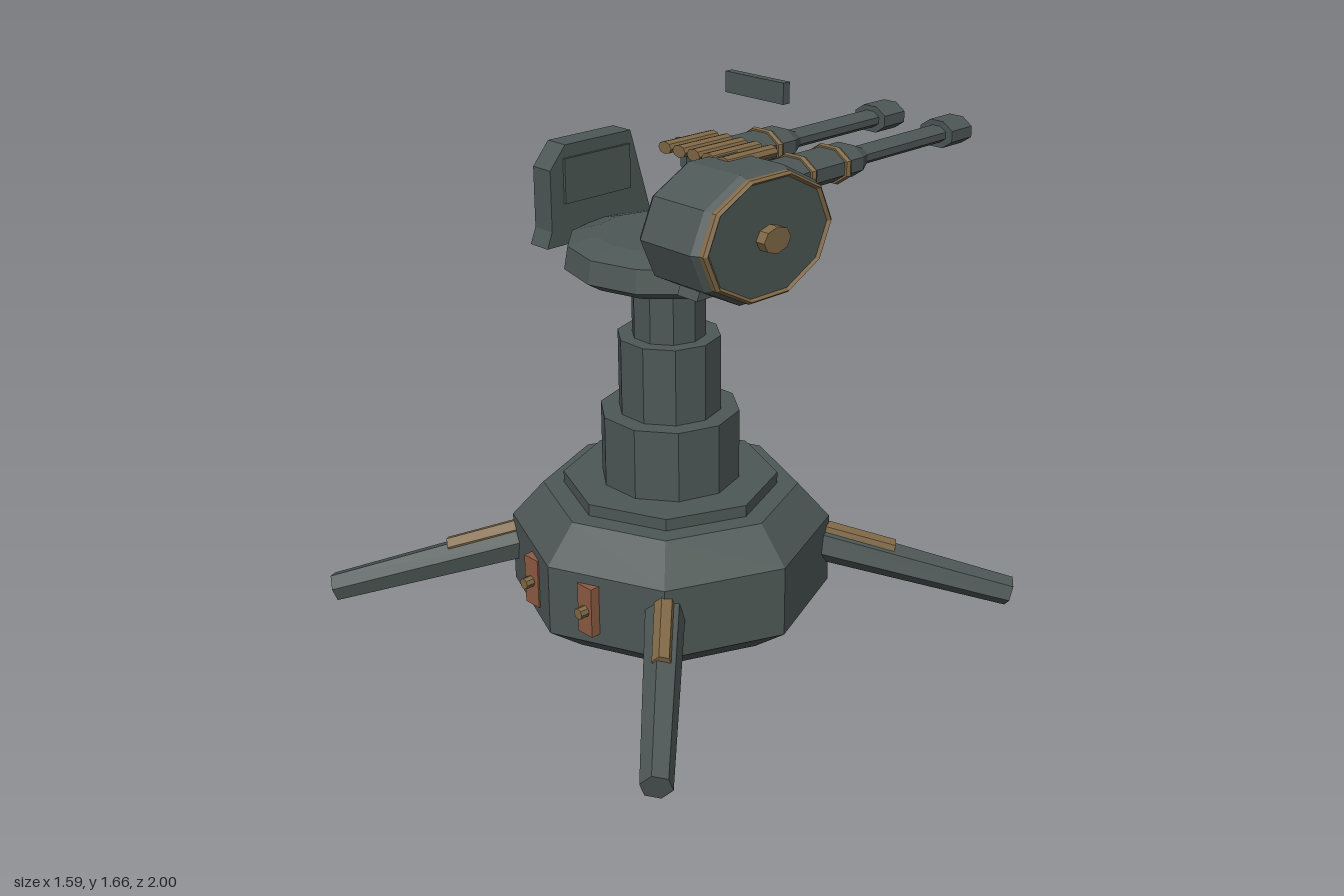
import * as THREE from 'three';

const material = (name, color) => {
  const m = new THREE.MeshStandardMaterial({ color });
  m.name = name;
  return m;
};

// Faceted normals for the low-poly look
function faceted(geometry) {
  const g = geometry.index ? geometry.toNonIndexed() : geometry;
  g.computeVertexNormals();
  return g;
}

export function createModel() {
  const model = new THREE.Group();
  model.name = 'turret';
  const steel = material('gunmetal', 0x4d5755);
  const brass = material('bronze', 0x7f6846);
  const rust = material('rust', 0x8c5a42);
  const glass = material('cyanGlass', 0x38b0b8);
  const CZ = 0.2; // z of the pedestal axis

  function add(name, geometry, mat, x = 0, y = 0, z = 0, parent = model) {
    const mesh = new THREE.Mesh(faceted(geometry), mat);
    mesh.name = name;
    mesh.position.set(x, y, z);
    parent.add(mesh);
    return mesh;
  }
  // Turned part: profile points are [radius, height]
  const turned = (points, sides, phase = 0) =>
    new THREE.LatheGeometry(points.map(p => new THREE.Vector2(...p)), sides, phase);
  const box = (w, h, d) => new THREE.BoxGeometry(w, h, d);

  // Tapered bar between two points
  function bar(name, a, b, ra, rb, sides, mat) {
    const dir = b.clone().sub(a);
    const mesh = add(name, new THREE.CylinderGeometry(rb, ra, dir.length(), sides), mat);
    mesh.position.copy(a).add(b).multiplyScalar(0.5);
    mesh.quaternion.setFromUnitVectors(new THREE.Vector3(0, 1, 0), dir.normalize());
  }

  // Octagonal base and its collar
  add('base', turned([[0, 0], [0.38, 0], [0.5, 0.09], [0.5, 0.315], [0.4, 0.428], [0, 0.428]], 8), steel, 0, 0, CZ);
  add('collar', turned([[0.335, 0.42], [0.335, 0.465], [0, 0.465]], 8), steel, 0, 0, CZ);

  // Telescoping column
  [[0.218, 0.46, 0.69], [0.16, 0.69, 0.932], [0.115, 0.932, 1.14]].forEach(([r, y0, y1], i) =>
    add('column' + (i + 1), turned([[0, y0], [r, y0], [r, y1], [0, y1]], 10, Math.PI / 2), steel, 0, 0, CZ));

  // Turntable
  add('turntable', turned([[0, 1.13], [0.265, 1.13], [0.315, 1.16], [0.303, 1.23], [0.215, 1.255], [0, 1.255]], 12),
    steel, 0, 0, CZ);

  // Splayed legs with braces
  for (const sx of [-1, 1]) for (const sz of [-1, 1]) {
    const at = (d, y) => new THREE.Vector3(sx * d, y, CZ + sz * d);
    bar('leg', at(0.29, 0.243), at(0.765, 0.05), 0.062, 0.047, 6, steel);
    bar('legBrace', at(0.3, 0.283), at(0.5, 0.2), 0.032, 0.03, 6, brass);
  }

  // Front hatches with knobs
  for (const s of [-1, 1]) {
    add('hatch', box(0.062, 0.16, 0.065), rust, s * 0.125, 0.205, 0.634);
    add('hatchKnob', new THREE.CylinderGeometry(0.018, 0.018, 0.05, 8).rotateX(Math.PI / 2), brass, s * 0.128, 0.205, 0.67);
  }

  // Side brackets with inner plates
  const outline = [[0, 1.18], [0.43, 1.18], [0.41, 1.23], [0.41, 1.42], [0.35, 1.49], [0.09, 1.49]];
  const bracketShape = new THREE.Shape(outline.map(([z, y]) => new THREE.Vector2(-z, y)));
  for (const s of [-1, 1]) {
    const g = new THREE.ExtrudeGeometry(bracketShape, { depth: 0.08, bevelEnabled: false });
    g.translate(0, 0, -0.04).rotateY(Math.PI / 2);
    add('bracket', g, steel, s * 0.326, 0, 0);
    add('bracketPlate', box(0.012, 0.14, 0.26), steel, s * 0.283, 1.38, 0.23);
  }
  const pivot = add('pivotBolt', new THREE.CylinderGeometry(0.08, 0.08, 0.05, 8, 1).rotateZ(Math.PI / 2), brass, -0.379, 1.378, CZ);
  pivot.scale.y = 0.69;

  // Ammunition drum, lying along x
  const drum = new THREE.Group();
  drum.name = 'ammoDrum';
  drum.position.set(0, 1.388, 0.337);
  drum.scale.y = 0.73;
  model.add(drum);
  const along = (name, points, sides, mat) =>
    add(name, turned(points, sides).rotateZ(-Math.PI / 2), mat, 0, 0, 0, drum);
  along('drumBody', [[0, 0.305], [0.245, 0.305], [0.263, 0.325], [0.263, 0.52], [0.24, 0.552], [0, 0.552]], 10, steel);
  along('drumRim', [[0.25, 0.532], [0.248, 0.552], [0.238, 0.56], [0.228, 0.552]], 10, brass);
  along('drumKnob', [[0.052, 0.54], [0.052, 0.583], [0, 0.583]], 8, brass);

  // Belt of cartridges feeding from the drum
  for (let i = 0; i < 5; i++) {
    const round = add('cartridge', new THREE.CylinderGeometry(0.026, 0.026, 0.19, 8).rotateX(Math.PI / 2),
      brass, 0.148 + i * 0.058, 1.562, 0.25);
    round.scale.y = 0.7;
  }
  add('beltLink', new THREE.CylinderGeometry(0.012, 0.012, 0.27, 6).rotateZ(Math.PI / 2), steel, 0.233, 1.556, 0.25);

  // Twin hollow barrels, slightly flattened and turned
  const profile = [[0.032, -1], [0.071, -1], [0.071, -0.895], [0.043, -0.895], [0.043, -0.5],
    [0.08, -0.44], [0.08, -0.068], [0.05, -0.068], [0.032, -0.2], [0.032, -1]];
  for (const x of [-0.154, 0.136]) {
    const gun = new THREE.Group();
    gun.name = 'gun';
    gun.position.set(x, 1.378, 0);
    gun.rotation.y = 0.015;
    gun.scale.y = 0.68;
    model.add(gun);
    add('barrel', turned(profile, 8, Math.PI / 8).rotateX(Math.PI / 2), steel, 0, 0, 0, gun);
    for (const z of [-0.205, -0.363])
      add('barrelBand', new THREE.TorusGeometry(0.082, 0.013, 6, 8).rotateZ(Math.PI / 8), brass, 0, 0, z, gun);
  }

  // Sight with a glowing rear lens
  const sight = new THREE.Group();
  sight.name = 'sight';
  sight.position.set(-0.011, 1.625, -0.185);
  sight.rotation.y = 0.015;
  model.add(sight);
  add('sightBody', box(0.243, 0.066, 0.028), steel, 0, 0, 0, sight);
  add('sightLens', box(0.15, 0.036, 0.018), glass, 0, 0, -0.022, sight);

  return model;
}
